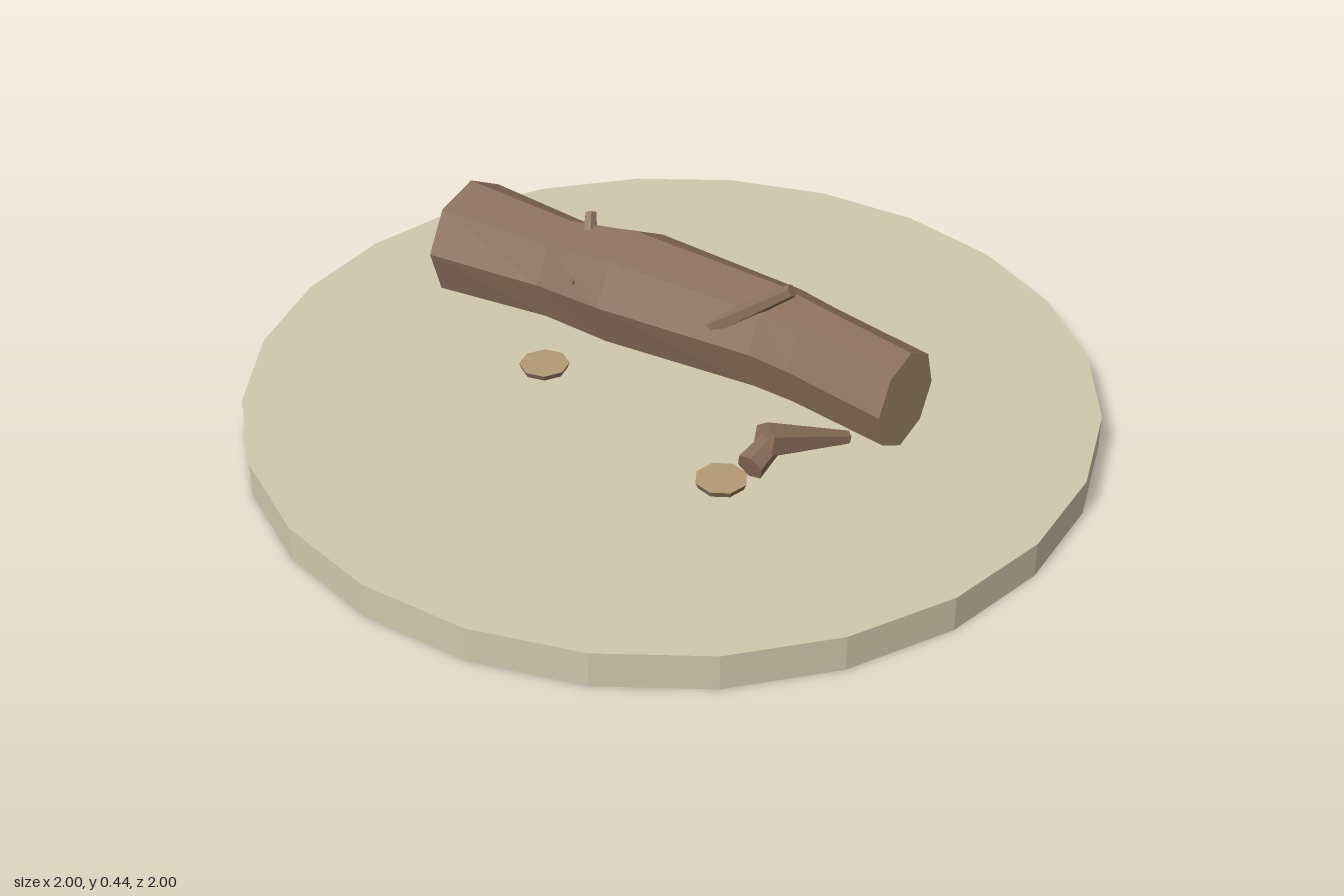
import * as THREE from 'three';

const mat = (name, color, extra = {}) => Object.assign(new THREE.MeshStandardMaterial({ color, flatShading: true, ...extra }), { name });

export function createModel() {
  const sand = mat('sand', 0xd0c7ac);
  const bark = mat('bark', 0x8a6e5b);
  const cutWood = mat('cutWood', 0xb59a73);
  const model = new THREE.Group();
  model.name = 'fallenLog';

  const add = (name, geometry, material) => {
    const mesh = new THREE.Mesh(geometry, material);
    mesh.name = name;
    model.add(mesh);
    return mesh;
  };

  // Round ground slab
  add('ground', new THREE.CylinderGeometry(1, 1, 0.085, 24), sand).position.y = 0.0425;

  // Trunk cross-sections: centre x, y, z, then width and height radii
  const sections = [
    [-0.585, 0.262, 0.19, 0.147, 0.148],
    [-0.315, 0.255, 0.078, 0.118, 0.131],
    [-0.15, 0.26, 0.0, 0.146, 0.145],
    [0.215, 0.256, -0.143, 0.119, 0.131],
    [0.32, 0.255, -0.167, 0.113, 0.123],
    [0.575, 0.253, -0.217, 0.113, 0.115],
  ];
  const sides = 8;
  const heading = 0.32; // trunk direction in plan
  const rings = sections.map(([x, y, z, rw, rh]) =>
    Array.from({ length: sides }, (_, i) => {
      const a = (i / sides) * Math.PI * 2 - 0.1;
      const out = Math.sin(a) * rw;
      return new THREE.Vector3(x + out * Math.sin(heading), y + Math.cos(a) * rh, z + out * Math.cos(heading));
    }));
  const surface = (triangles) => {
    const g = new THREE.BufferGeometry().setFromPoints(triangles);
    g.computeVertexNormals();
    return g;
  };

  // Bark faces between neighbouring sections
  const skin = [];
  for (let r = 0; r < rings.length - 1; r++) {
    for (let i = 0; i < sides; i++) {
      const j = (i + 1) % sides;
      const [a, b, c, d] = [rings[r][i], rings[r][j], rings[r + 1][j], rings[r + 1][i]];
      skin.push(a, b, c, a, c, d);
    }
  }
  add('trunk', surface(skin), bark);

  // Sawn ends
  const capFaces = (ring, flip) => {
    const faces = [];
    for (let i = 1; i < sides - 1; i++) {
      faces.push(ring[0], ring[flip ? i + 1 : i], ring[flip ? i : i + 1]);
    }
    return surface(faces);
  };
  add('thickCutEnd', capFaces(rings[0], true), cutWood);
  add('thinCutEnd', capFaces(rings[rings.length - 1], false), cutWood);

  // Tapered six-sided branch between two points
  const branch = (name, from, to, r0, r1) => {
    const a = new THREE.Vector3(...from);
    const b = new THREE.Vector3(...to);
    const dir = b.clone().sub(a);
    const mesh = add(name, new THREE.CylinderGeometry(r1, r0, dir.length(), 6), bark);
    mesh.position.copy(a).add(b).multiplyScalar(0.5);
    mesh.quaternion.setFromUnitVectors(new THREE.Vector3(0, 1, 0), dir.normalize());
  };
  branch('upperBranch', [0.14, 0.295, -0.015], [0.29, 0.425, -0.12], 0.024, 0.016);
  branch('backBranch', [-0.45, 0.22, 0.04], [-0.5, 0.135, -0.13], 0.037, 0.014);
  branch('topStub', [-0.24, 0.34, 0.065], [-0.285, 0.412, 0.03], 0.022, 0.014);
  branch('sideStub', [-0.21, 0.295, 0.12], [-0.185, 0.31, 0.155], 0.012, 0.005);
  branch('frontBranch', [0.5, 0.15, -0.12], [0.47, 0.21, 0.09], 0.016, 0.042);
  branch('frontBranchFork', [0.465, 0.205, 0.045], [0.492, 0.175, 0.145], 0.026, 0.034);

  // Flat wood chips on the ground
  [[-0.21, 0.22, 0.2], [0.405, 0.155, 0.5], [0.135, -0.245, 0.9]].forEach(([x, z, turn], i) => {
    const chip = add('woodChip' + (i + 1), new THREE.CylinderGeometry(0.06, 0.054, 0.016, 8), [bark, cutWood, bark]);
    chip.position.set(x, 0.091, z);
    chip.rotation.y = turn;
  });

  return model;
}
